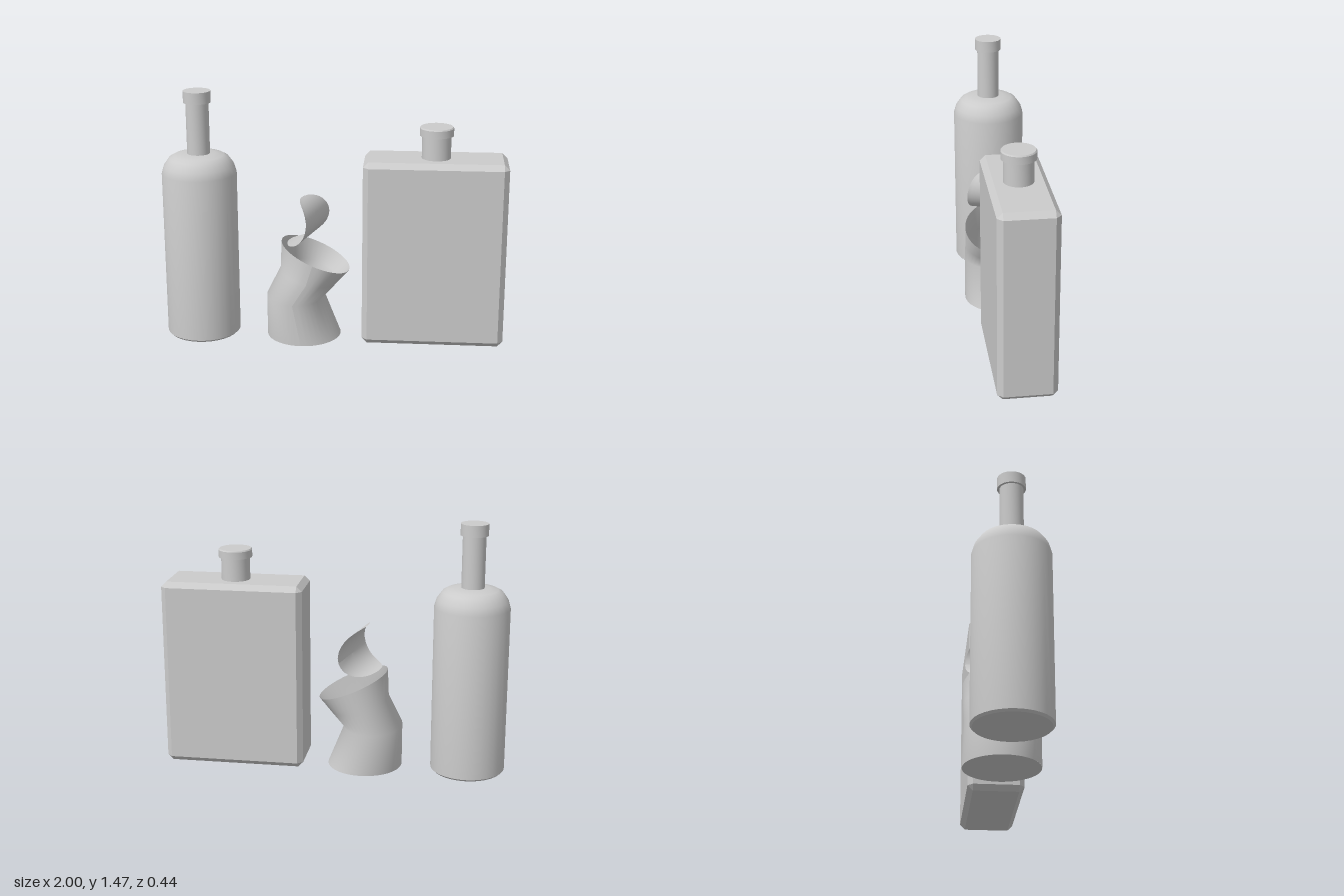
import * as THREE from 'three';
import { toCreasedNormals } from 'three/addons/utils/BufferGeometryUtils.js';
import { ConvexGeometry } from 'three/addons/geometries/ConvexGeometry.js';

const grey = new THREE.MeshStandardMaterial({ color: 0xcccccc });
const greySheet = new THREE.MeshStandardMaterial({ color: 0xcccccc, side: THREE.DoubleSide });

function add(parent, name, geometry, material = grey) {
  const mesh = new THREE.Mesh(geometry, material);
  mesh.name = name;
  parent.add(mesh);
  return mesh;
}

// Turned solid from [radius, height] pairs, bottom to top
function turned(profile, sides = 32) {
  const points = profile.map(([r, y]) => new THREE.Vector2(r, y));
  return toCreasedNormals(new THREE.LatheGeometry(points, sides), 0.6);
}

// Box whose edges and corners are all cut flat
function chamferedBox(w, h, d, c) {
  const points = [];
  for (const sx of [-1, 1]) for (const sy of [-1, 1]) for (const sz of [-1, 1]) {
    const [x, y, z] = [w / 2, h / 2, d / 2];
    points.push(
      new THREE.Vector3(sx * x, sy * (y - c), sz * (z - c)),
      new THREE.Vector3(sx * (x - c), sy * y, sz * (z - c)),
      new THREE.Vector3(sx * (x - c), sy * (y - c), sz * z));
  }
  return new ConvexGeometry(points);
}

function roundBottle() {
  const g = new THREE.Group();
  g.name = 'roundBottle';
  add(g, 'bottleBody', turned([[0, 0], [0.205, 0], [0.217, 0.012], [0.217, 0.985],
    [0.204, 1.03], [0.172, 1.075], [0.145, 1.09], [0.095, 1.1], [0, 1.1]]));
  add(g, 'bottleNeck', turned([[0.066, 1.09], [0.066, 1.4]]));
  add(g, 'bottleCap', turned([[0, 1.4], [0.079, 1.4], [0.079, 1.467], [0, 1.467]]));
  g.position.x = -0.783;
  return g;
}

function flatBottle() {
  const g = new THREE.Group();
  g.name = 'flatBottle';
  add(g, 'flaskBody', chamferedBox(0.824, 1.1, 0.33, 0.031)).position.y = 0.55;
  add(g, 'flaskNeck', turned([[0.083, 1.09], [0.083, 1.235]]));
  add(g, 'flaskCap', turned([[0, 1.232], [0.097, 1.232], [0.097, 1.275], [0.092, 1.282], [0, 1.282]]));
  g.position.x = 0.588;
  return g;
}

// Crushed can: each ring runs from a left point to a right point, with a half depth
function canWall() {
  const rings = [
    { left: [-0.395, 0], right: [0.043, 0], depth: 0.22 },
    { left: [-0.395, 0.25], right: [-0.055, 0.245], depth: 0.215 },
    { left: [-0.312, 0.42], right: [0.025, 0.335], depth: 0.217 },
    { left: [-0.305, 0.585], right: [0.095, 0.412], depth: 0.22 },
  ];
  const geo = new THREE.CylinderGeometry(1, 1, 3, 40, 3, true);
  const p = geo.attributes.position;
  for (let i = 0; i < p.count; i++) {
    const { left, right, depth } = rings[Math.round(p.getY(i) + 1.5)];
    const t = (p.getX(i) + 1) / 2;
    p.setXYZ(i, THREE.MathUtils.lerp(left[0], right[0], t),
      THREE.MathUtils.lerp(left[1], right[1], t), p.getZ(i) * depth);
  }
  geo.computeVertexNormals();
  return geo;
}

// Torn lid: a disc curled around a nearly front-to-back axis
function curledLid() {
  const curl = 0.137;
  const bulge = new THREE.Vector3(-0.097, 0.68, 0);
  const out = new THREE.Vector3(0.96, -0.28, 0);
  const along = new THREE.Vector3(0.28, 0.96, 0);
  const axis = new THREE.Vector3(-0.25, 0.03, 0.97);
  const geo = new THREE.RingGeometry(0, 0.208, 40, 10);
  const p = geo.attributes.position;
  const v = new THREE.Vector3();
  for (let i = 0; i < p.count; i++) {
    const angle = p.getY(i) / curl;
    v.copy(bulge)
      .addScaledVector(out, curl * (Math.cos(angle) - 1))
      .addScaledVector(along, curl * Math.sin(angle))
      .addScaledVector(axis, -p.getX(i));
    p.setXYZ(i, v.x, v.y, v.z);
  }
  geo.computeVertexNormals();
  return geo;
}

function crushedCan() {
  const g = new THREE.Group();
  g.name = 'crushedCan';
  add(g, 'canWall', canWall(), greySheet);
  const base = add(g, 'canBase', new THREE.CircleGeometry(0.219, 40), greySheet);
  base.rotation.x = Math.PI / 2;
  base.position.x = -0.176;
  add(g, 'canLid', curledLid(), greySheet);
  return g;
}

export function createModel() {
  const model = new THREE.Group();
  model.name = 'bottlesAndCan';
  model.add(roundBottle(), crushedCan(), flatBottle());
  return model;
}
